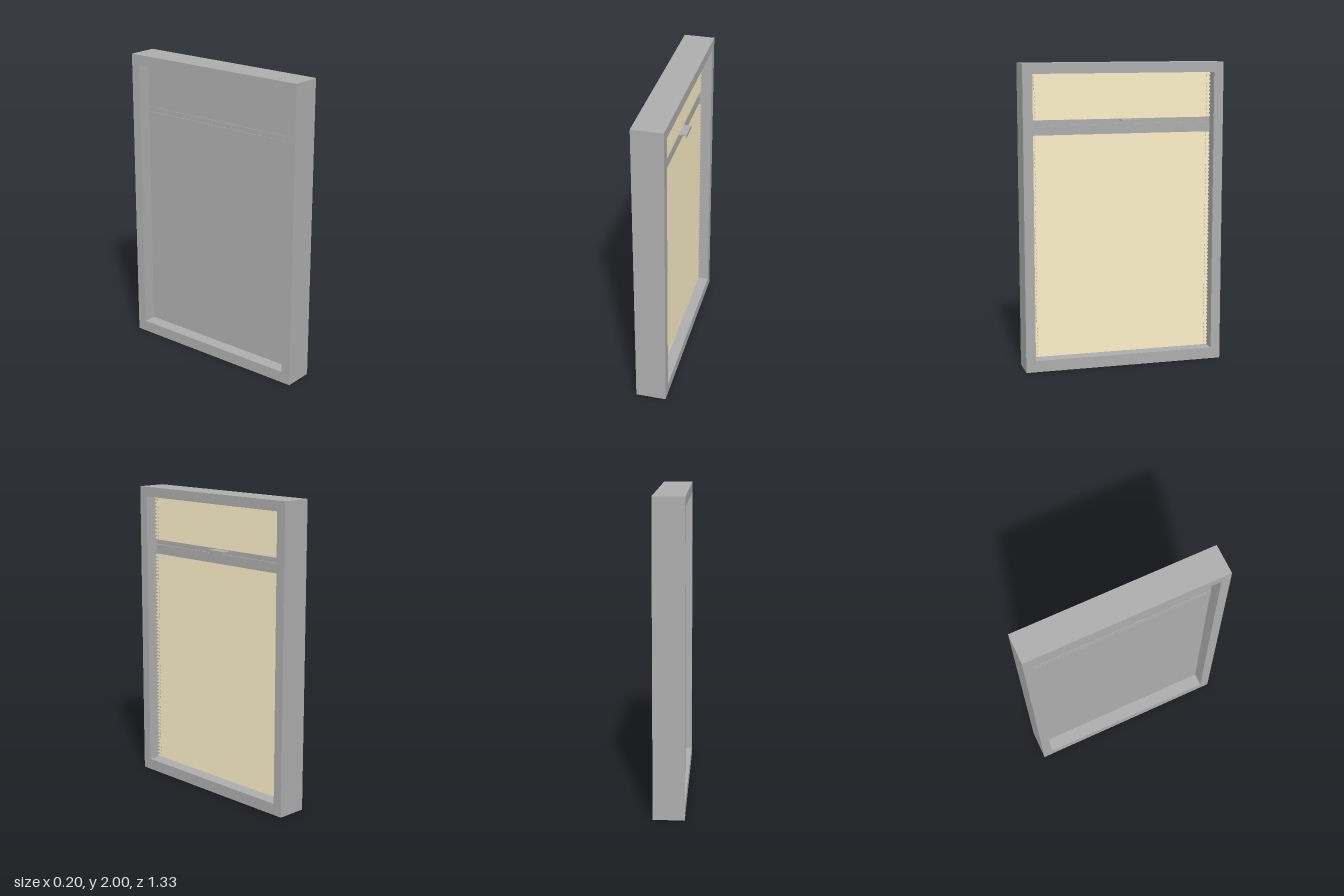
import * as THREE from 'three';

const grey = new THREE.MeshStandardMaterial({ color: 0xadadad });
const fabric = new THREE.MeshStandardMaterial({ color: 0xfdf0c8, side: THREE.DoubleSide });

const HALF_Z = 0.603; // half width of the opening
const BOTTOM = 0.075, TOP = 1.935;
const RAIL_BACK = -0.017, RAIL_FRONT = 0.018;
const PLEAT_BACK = 0.008, PLEAT_FRONT = 0.034;

function add(group, name, geometry, material = grey) {
  const mesh = new THREE.Mesh(geometry, material);
  mesh.name = name;
  group.add(mesh);
  return mesh;
}

// Box given by its limits on each axis
function block(group, name, [x0, x1], [y0, y1], [z0, z1]) {
  const mesh = add(group, name, new THREE.BoxGeometry(x1 - x0, y1 - y0, z1 - z0));
  mesh.position.set((x0 + x1) / 2, (y0 + y1) / 2, (z0 + z1) / 2);
}

// Zigzag sheet of fabric, softly shaded: the plane's even normals are kept
function pleatedSheet(y0, y1, pitch) {
  const folds = Math.round((y1 - y0) / pitch) * 2;
  const geometry = new THREE.PlaneGeometry(HALF_Z * 2 - 0.004, y1 - y0, 1, folds);
  geometry.rotateY(Math.PI / 2);
  geometry.translate(0, (y0 + y1) / 2, 0);
  const p = geometry.attributes.position;
  for (let i = 0; i < p.count; i++) {
    const row = Math.floor(i / 2);
    p.setX(i, row % 2 ? PLEAT_FRONT : PLEAT_BACK);
  }
  return geometry;
}

// Pane, pleated fabric and two guide cords
function blind(name, y0, y1) {
  const group = new THREE.Group();
  group.name = name;
  block(group, 'pane', [-0.013, 0.004], [y0, y1], [-HALF_Z, HALF_Z]);
  add(group, 'pleatedFabric', pleatedSheet(y0, y1, 0.025), fabric);
  for (const side of [-1, 1]) {
    const cord = add(group, 'guideCord', new THREE.CylinderGeometry(0.0015, 0.0015, y1 - y0, 6));
    cord.position.set(0.021, (y0 + y1) / 2, side * 0.578);
  }
  return group;
}

export function createModel() {
  const model = new THREE.Group();
  model.name = 'windowWithPleatedBlind';

  // Outer frame with a rectangular opening
  const outline = new THREE.Shape([
    new THREE.Vector2(-0.667, 0), new THREE.Vector2(0.667, 0),
    new THREE.Vector2(0.667, 2), new THREE.Vector2(-0.667, 2),
  ]);
  outline.holes.push(new THREE.Path([
    new THREE.Vector2(-HALF_Z, BOTTOM), new THREE.Vector2(-HALF_Z, TOP),
    new THREE.Vector2(HALF_Z, TOP), new THREE.Vector2(HALF_Z, BOTTOM),
  ]));
  const frame = new THREE.ExtrudeGeometry(outline, { depth: 0.2, bevelEnabled: false });
  frame.translate(0, 0, -0.1);
  frame.rotateY(Math.PI / 2);
  add(model, 'frame', frame);

  // Blinds above and below the rails
  model.add(blind('upperBlind', 1.637, TOP));
  model.add(blind('lowerBlind', BOTTOM, 1.54));

  // Sliding rails with a narrow groove between them
  block(model, 'lowerRail', [RAIL_BACK, RAIL_FRONT], [1.54, 1.604], [-HALF_Z, HALF_Z]);
  block(model, 'railGroove', [-0.013, 0.008], [1.604, 1.61], [-HALF_Z, HALF_Z]);
  block(model, 'upperRail', [RAIL_BACK, RAIL_FRONT], [1.61, 1.637], [-HALF_Z, HALF_Z]);

  // Pull handle: a thin ledge with a lip turned down at its front
  const handle = new THREE.Group();
  handle.name = 'handle';
  block(handle, 'ledge', [RAIL_FRONT, 0.07], [1.627, 1.634], [-0.115, 0.015]);
  block(handle, 'lip', [0.07, 0.077], [1.612, 1.634], [-0.115, 0.015]);
  model.add(handle);

  return model;
}
